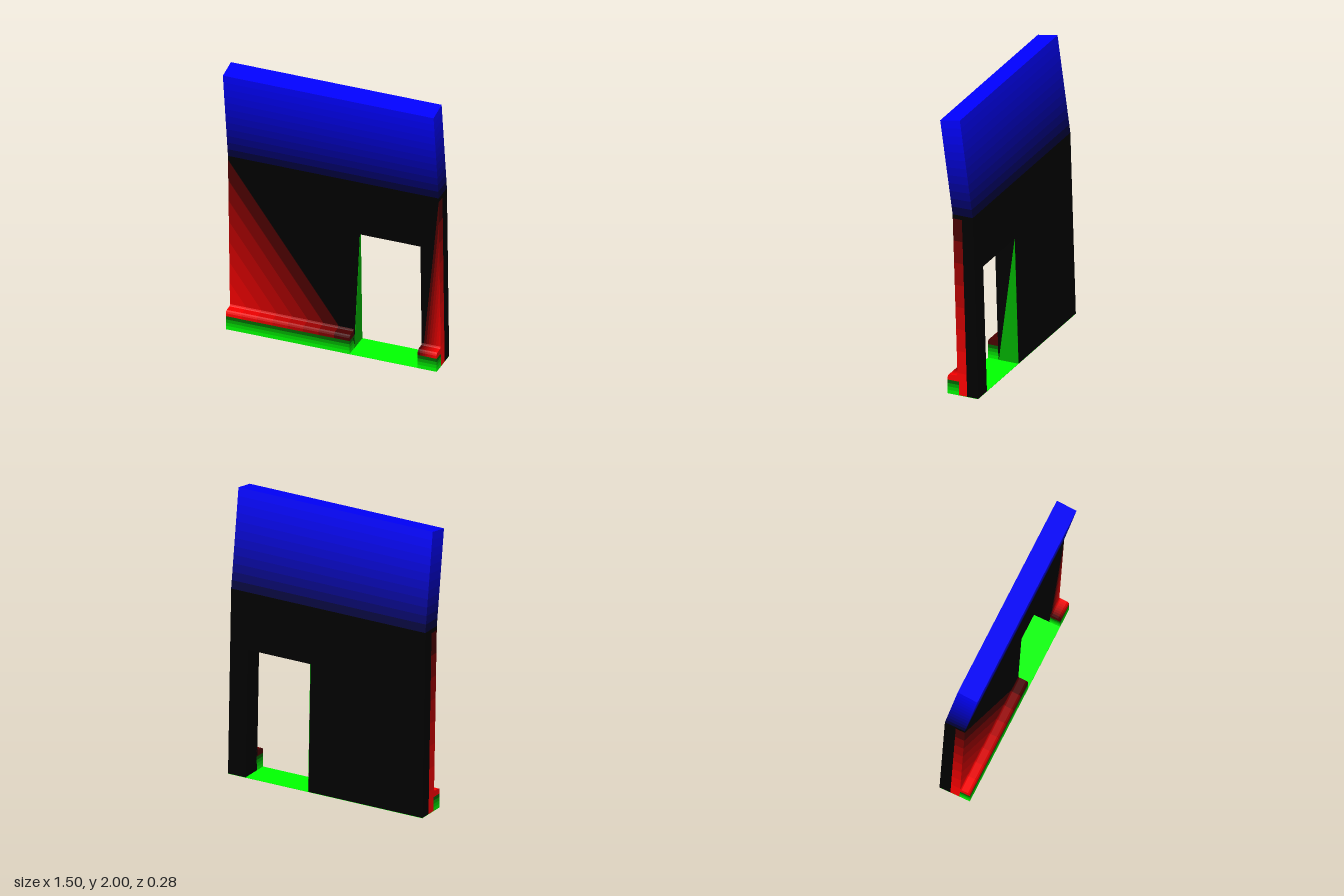
import * as THREE from 'three';

const HALF = 0.75, DOOR_L = 0.13, DOOR_R = 0.615, DOOR_H = 0.905;
const BEND = 1.31, BASE = 0.002, THICK = 0.147;
const lerp = THREE.MathUtils.lerp;

// Back face of the lower wall, which leans slightly forward
const backZ = (y) => lerp(-0.138, -0.098, y / BEND);

const toShape = (pts) => new THREE.Shape(pts.map(([x, y]) => new THREE.Vector2(x, y)));

function addMesh(group, name, geometry, rgb) {
  const material = new THREE.MeshStandardMaterial({ color: new THREE.Color(...rgb) });
  const mesh = new THREE.Mesh(geometry, material);
  mesh.name = name;
  group.add(mesh);
}

// Front outline [x, y] given depth, then sheared to follow the lean
function leaningSlab(pts, from, to) {
  const geo = new THREE.ExtrudeGeometry(toShape(pts), { depth: to - from, bevelEnabled: false });
  const p = geo.attributes.position;
  for (let i = 0; i < p.count; i++) p.setZ(i, p.getZ(i) + from + backZ(p.getY(i)));
  geo.computeVertexNormals();
  return geo;
}

// Side profile [z, y] swept along x
function sweep(pts, x0, x1) {
  const geo = new THREE.ExtrudeGeometry(toShape(pts.map(([z, y]) => [-z, y])), { depth: x1 - x0, bevelEnabled: false });
  return geo.rotateY(Math.PI / 2).translate(x0, 0, 0);
}

function part(parent, name) {
  const g = new THREE.Group();
  g.name = name;
  parent.add(g);
  return g;
}

export function createModel() {
  const model = new THREE.Group();
  model.name = 'wallWithDoorway';

  // Lower wall: plain back layer and a front layer with red corner fades
  const wall = part(model, 'lowerWall');
  const black = [0, 0, 0];
  const doorEdge = [[DOOR_L, BASE], [DOOR_L, DOOR_H], [DOOR_R, DOOR_H], [DOOR_R, BASE]];
  const split = 0.08, fadeTop = 1.28;
  addMesh(wall, 'wallBack', leaningSlab(
    [[-HALF, BASE], ...doorEdge, [HALF, BASE], [HALF, BEND], [-HALF, BEND]], 0, split), black);
  addMesh(wall, 'wallFront', leaningSlab(
    [...doorEdge, [HALF, fadeTop], [HALF, BEND], [-HALF, BEND], [-HALF, fadeTop]], split, THICK), black);

  const bands = 8;
  for (const [corner, tip] of [[-HALF, DOOR_L], [HALF, DOOR_R]]) {
    for (let i = 0; i < bands; i++) {
      const a = i / bands, b = (i + 1) / bands;
      const pts = [[lerp(corner, tip, b), BASE], [corner, lerp(BASE, fadeTop, b)]];
      if (i > 0) pts.push([corner, lerp(BASE, fadeTop, a)], [lerp(corner, tip, a), BASE]);
      else pts.push([corner, BASE]);
      addMesh(wall, 'cornerFade', leaningSlab(pts, split, THICK), [1 - (a + b) / 2, 0, 0]);
    }
  }

  // Upper wall: tilts further forward and fades from black to blue
  const upper = part(model, 'upperWall');
  const steps = 12;
  const front = (t) => [lerp(0.049, 0.14, t), lerp(BEND, 1.975, t)];
  const back = (t) => [lerp(-0.098, -0.004, t), lerp(BEND, 2, t)];
  for (let i = 0; i < steps; i++) {
    const a = i / steps, b = (i + 1) / steps;
    addMesh(upper, 'upperBand', sweep([front(a), front(b), back(b), back(a)], -HALF, HALF), [0, 0, (a + b) / 2]);
  }

  // Skirting on each side of the doorway, green below, red to black on top
  const skirting = part(model, 'skirting');
  const inner = 0.004, outer = 0.085, capY = 0.1, rows = 4;
  const cap = [[inner, capY], [outer, capY], [outer, 0.122], [0.081, 0.134], [0.07, 0.14],
    [0.024, 0.142], [0.017, 0.146], [0.0135, 0.155], [inner, 0.155]];
  for (const [corner, tip] of [[-HALF, DOOR_L], [HALF, DOOR_R]]) {
    const x0 = Math.min(corner, tip), x1 = Math.max(corner, tip);
    for (let i = 0; i < rows; i++) {
      const y0 = lerp(BASE, capY, i / rows), y1 = lerp(BASE, capY, (i + 1) / rows);
      addMesh(skirting, 'skirtingBand',
        sweep([[inner, y0], [outer, y0], [outer, y1], [inner, y1]], x0, x1), [0, 1 - (i + 0.5) / rows, 0]);
    }
    for (let i = 0; i < bands; i++) {
      const xa = lerp(corner, tip, i / bands), xb = lerp(corner, tip, (i + 1) / bands);
      addMesh(skirting, 'skirtingCap', sweep(cap, Math.min(xa, xb), Math.max(xa, xb)), [1 - (i + 0.5) / bands, 0, 0]);
    }
  }

  // Thin base plate, which is also the threshold in the doorway
  const plate = new THREE.BoxGeometry(HALF * 2, BASE, 0.223).translate(0, BASE / 2, -0.0265);
  addMesh(model, 'threshold', plate, [0, 1, 0]);

  // Green wedge on the door jamb
  addMesh(model, 'jambWedge',
    sweep([[0.005, BASE], [backZ(0), BASE], [backZ(DOOR_H), DOOR_H]], DOOR_L - 0.001, DOOR_L + 0.002), [0, 0.4, 0]);

  return model;
}
